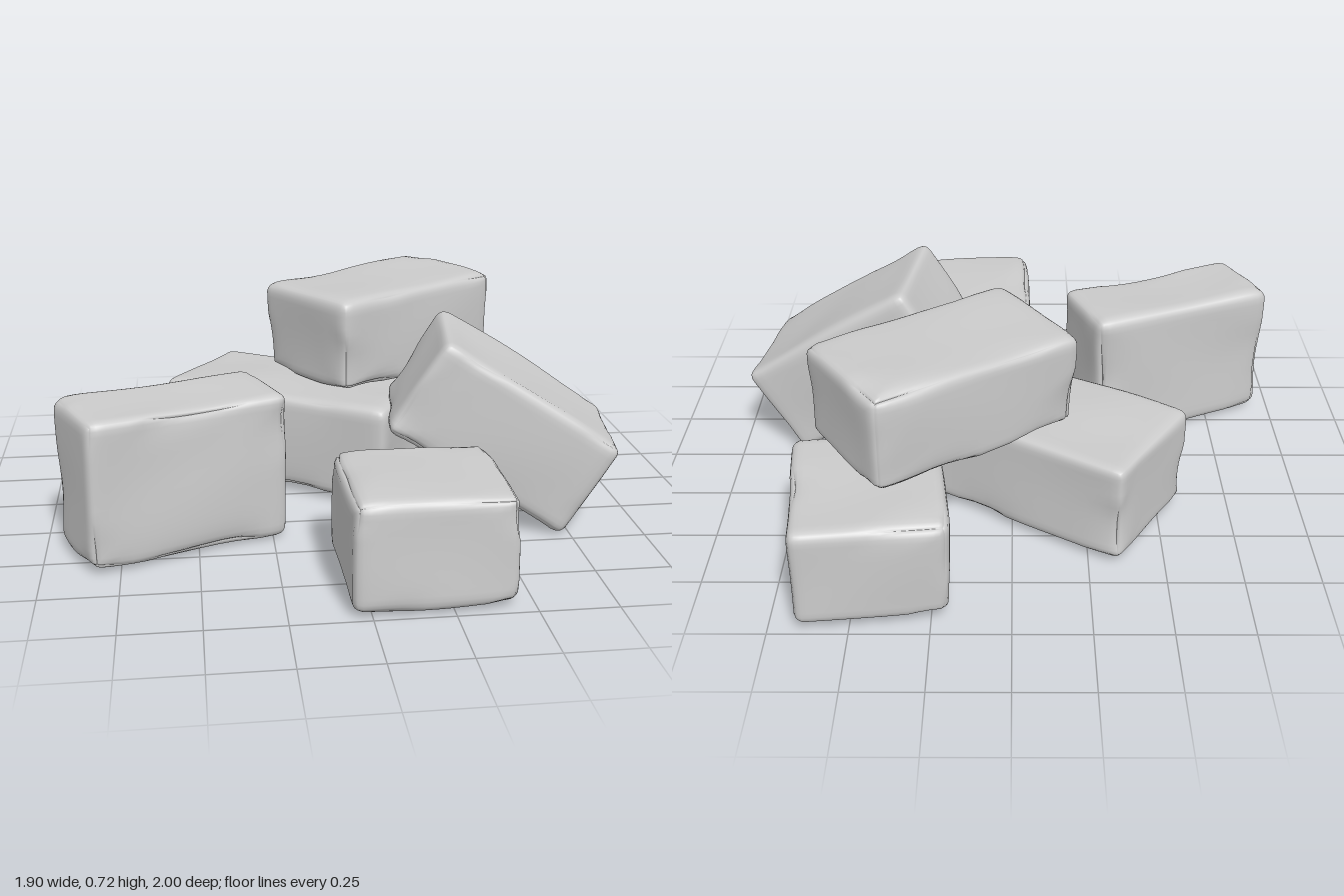
import * as THREE from 'three';
import { mergeVertices } from 'three/addons/utils/BufferGeometryUtils.js';

const material = new THREE.MeshStandardMaterial({ color: 0xcccccc });

// Smooth, low-frequency noise in about -1..1
function wobble(p, seed, f) {
  return (Math.sin(p.x * f + seed * 2.1 + 1.7 * Math.sin(p.y * f * 0.8 + seed))
    + Math.sin(p.y * f * 1.1 + seed * 3.7 + 1.5 * Math.sin(p.z * f * 0.9 + seed * 1.3))
    + Math.sin(p.z * f + seed * 5.3 + 1.6 * Math.sin(p.x * f * 0.7 + seed * 2.9))) / 3;
}

// A worn stone block: rounded edges, uneven faces and chipped arrises
function stoneGeometry(w, h, d, seed) {
  let geo = new THREE.BoxGeometry(2, 2, 2, 20, 20, 20);
  geo.deleteAttribute('uv');
  geo.deleteAttribute('normal');
  geo = mergeVertices(geo, 1e-4);
  const r = 0.035;
  const half = new THREE.Vector3(w, h, d).multiplyScalar(0.5);
  const inner = half.clone().subScalar(r);
  const pos = geo.attributes.position;
  const p = new THREE.Vector3(), c = new THREE.Vector3(), n = new THREE.Vector3();
  for (let i = 0; i < pos.count; i++) {
    p.fromBufferAttribute(pos, i);
    // crowd the grid lines towards the edges
    const s = [p.x, p.y, p.z].map((t) => Math.sin(t * Math.PI / 2));
    p.fromArray(s).multiply(half);
    c.copy(p).clamp(inner.clone().negate(), inner);
    n.copy(p).sub(c).normalize();
    p.copy(c).addScaledVector(n, r);
    // middle of the three coordinates tells how close a point is to an edge
    const near = s.map(Math.abs).sort((a, b) => a - b)[1];
    const chip = Math.pow(near, 6) * Math.max(0, wobble(p, seed + 4, 15));
    p.addScaledVector(n, 0.009 * wobble(p, seed, 9) - 0.03 * chip);
    pos.setXYZ(i, p.x, p.y, p.z);
  }
  geo.computeVertexNormals();
  return geo;
}

// name, size (length, height, width), centre, turn about y, roll about z
const STONES = [
  ['frontStone', [0.51, 0.35, 0.49], [0.19, 0.19, 0.74], 0.03, 0],
  ['rightFrontStone', [0.69, 0.5, 0.32], [-0.575, 0.26, 0.355], 0.386, -0.015],
  ['longBaseStone', [0.89, 0.35, 0.47], [-0.1, 0.195, -0.24], -0.57, 0],
  ['backStone', [0.48, 0.34, 0.55], [0.455, 0.2, -0.705], 0.11, 0],
  ['topStone', [0.76, 0.335, 0.46], [0.225, 0.54, -0.41], 0.6, 0.01],
  ['leaningStone', [0.7, 0.37, 0.47], [0.55, 0.34, 0.22], -0.14, -0.56],
];

export function createModel() {
  const group = new THREE.Group();
  group.name = 'stonePile';
  STONES.forEach(([name, size, centre, turn, roll], i) => {
    const stone = new THREE.Mesh(stoneGeometry(...size, i * 1.9 + 1), material);
    stone.name = name;
    stone.position.set(...centre);
    stone.rotation.set(0, turn, roll, 'YXZ');
    group.add(stone);
  });
  return group;
}
